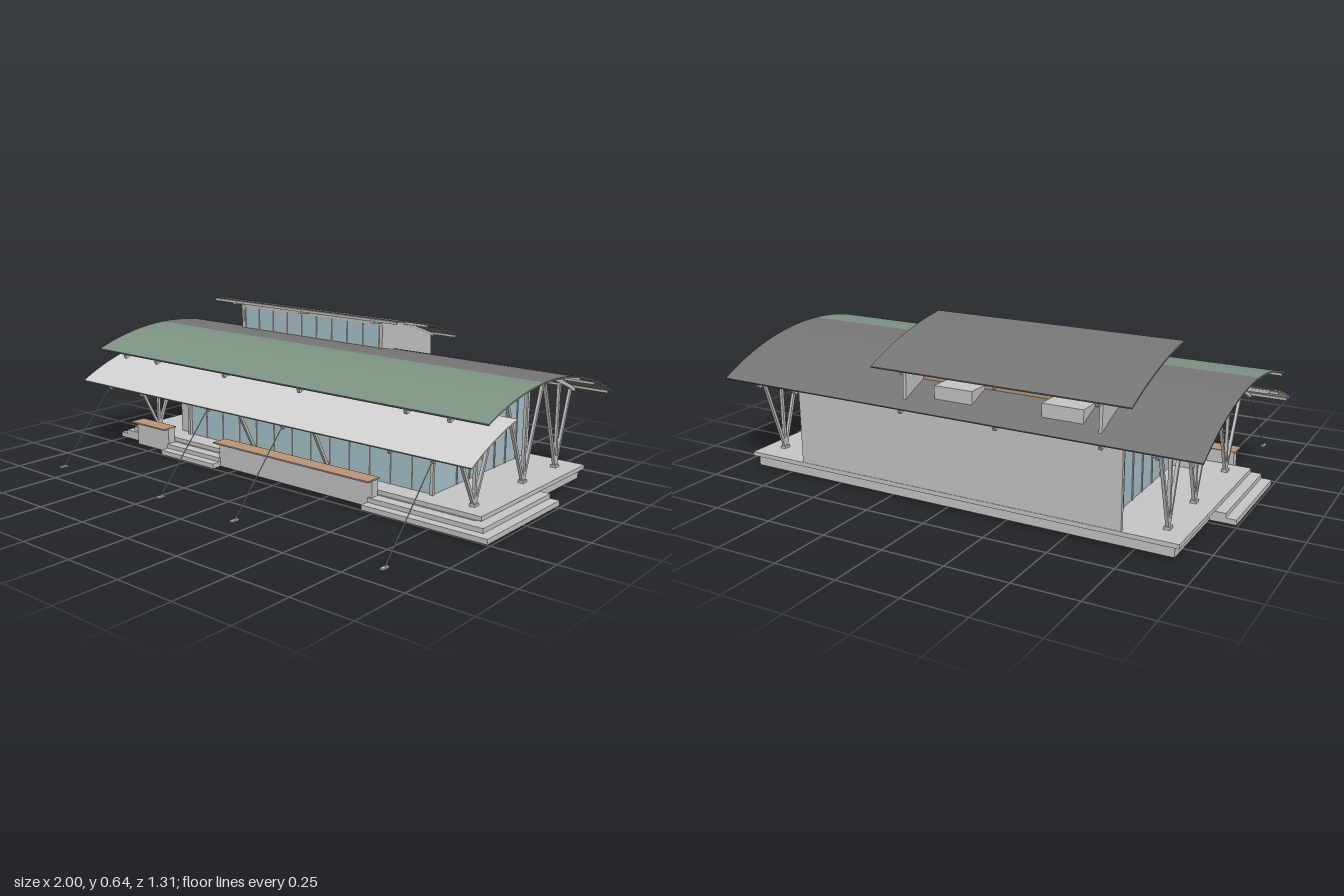
import * as THREE from 'three';
import { toCreasedNormals } from 'three/addons/utils/BufferGeometryUtils.js';

const mat = (name, color) => new THREE.MeshStandardMaterial({ name, color });

export function createModel() {
  const root = new THREE.Group();
  root.name = 'pavilion';
  const concrete = mat('concrete', 0xc6c6c6);
  const steel = mat('steel', 0xc2c2c0);
  const slate = mat('slate roof', 0x767774);
  const green = mat('green roof', 0x7d9484);
  const pale = mat('pale canopy', 0xd2d2d2);
  const glass = mat('glass', 0xaac5ce);
  const timber = mat('timber', 0xb8977a);

  const add = (name, geo, material, parent = root) => {
    const m = new THREE.Mesh(geo, material);
    m.name = name;
    parent.add(m);
    return m;
  };
  // box given by its extents on each axis
  const box = (name, material, x0, x1, y0, y1, z0, z1) => {
    const g = new THREE.BoxGeometry(x1 - x0, y1 - y0, z1 - z0);
    g.translate((x0 + x1) / 2, (y0 + y1) / 2, (z0 + z1) / 2);
    return add(name, g, material);
  };
  // side profile of [z, y] points swept from x0 to x1
  const sweep = (name, material, pts, x0, x1) => {
    const shape = new THREE.Shape(pts.map(([z, y]) => new THREE.Vector2(-z, y)));
    const g = new THREE.ExtrudeGeometry(shape, { depth: x1 - x0, bevelEnabled: false });
    g.rotateY(Math.PI / 2).translate(x0, 0, 0);
    return add(name, toCreasedNormals(g, 0.4), material);
  };
  // square bar between two points
  const bar = (name, material, a, b, size) => {
    const p = new THREE.Vector3(...a), q = new THREE.Vector3(...b);
    const m = add(name, new THREE.BoxGeometry(size, size, p.distanceTo(q)), material);
    m.position.copy(p).add(q).multiplyScalar(0.5);
    m.lookAt(q);
    return m;
  };

  // circular roof line through three [z, y] points
  const arcThrough = ([ax, ay], [bx, by], [cx, cy]) => {
    const d = 2 * (ax * (by - cy) + bx * (cy - ay) + cx * (ay - by));
    const a = ax * ax + ay * ay, b = bx * bx + by * by, c = cx * cx + cy * cy;
    const z0 = (a * (by - cy) + b * (cy - ay) + c * (ay - by)) / d;
    const y0 = (a * (cx - bx) + b * (ax - cx) + c * (bx - ax)) / d;
    const R = Math.hypot(ax - z0, ay - y0);
    return (z, drop = 0) => {
      const t = Math.asin((z - z0) / R);
      return [z0 + (R - drop) * Math.sin(t), y0 + (R - drop) * Math.cos(t)];
    };
  };
  const line = (arc, z0, z1, drop, n = 20) =>
    Array.from({ length: n + 1 }, (_, i) => arc(z0 + ((z1 - z0) * i) / n, drop));
  const band = (arc, z0, z1, d0, d1) => [...line(arc, z0, z1, d0), ...line(arc, z1, z0, d1)];

  const mainArc = arcThrough([0.29, 0.439], [-0.116, 0.514], [-0.65, 0.38]);
  const canopyArc = arcThrough([0.387, 0.311], [0.25, 0.374], [0.1, 0.417]);
  const upperArc = arcThrough([-0.18, 0.641], [-0.41, 0.6], [-0.64, 0.522]);

  // roof sheets
  sweep('roofFront', green, band(mainArc, 0.292, -0.08, 0, 0.006), -1, 1);
  sweep('roofRear', slate, band(mainArc, -0.08, -0.652, 0, 0.006), -1, 1);
  sweep('canopy', pale, band(canopyArc, 0.388, 0.1, 0, 0.005), -1, 1);
  sweep('upperRoof', slate, band(upperArc, -0.18, -0.643, 0, 0.006), -0.75, 0.285);

  // curved beams and purlins under the sheets
  const frames = [-0.84, -0.64, -0.235, 0.165, 0.66, 0.84];
  for (const x of frames) {
    sweep('roofBeam', steel, band(mainArc, 0.29, -0.65, 0.013, 0.028), x - 0.007, x + 0.007);
    sweep('canopyBeam', steel, band(canopyArc, 0.385, 0.1, 0.011, 0.026), x - 0.006, x + 0.006);
  }
  for (const x of [-0.62, -0.23, 0.16])
    sweep('upperBeam', steel, band(upperArc, -0.182, -0.638, 0.01, 0.022), x - 0.006, x + 0.006);
  const purlins = (arc, zs, x0, x1) => zs.forEach((z) => {
    const [pz, py] = arc(z, 0.0095);
    box('purlin', steel, x0, x1, py - 0.005, py + 0.005, pz - 0.005, pz + 0.005);
  });
  purlins(mainArc, [0.28, 0.1, -0.07, -0.25, -0.38, -0.51, -0.638], -0.99, 0.99);
  purlins(canopyArc, [0.378, 0.245, 0.11], -0.99, 0.99);
  purlins(upperArc, [-0.19, -0.41, -0.63], -0.745, 0.28);

  // plinth, floor slab and wraparound steps
  box('plinth', concrete, -0.9, 0.9, 0.01, 0.05, -0.6, 0.185);
  box('floorSlab', concrete, -0.92, 0.92, 0.05, 0.067, -0.612, 0.18);
  [[0.01, 0.03, 1, 0.27], [0.03, 0.048, 0.96, 0.232]].forEach(([y0, y1, x, z]) => {
    box('cornerStep', concrete, 0.46, x, y0, y1, 0.17, z);
    box('rightStep', concrete, 0.88, x, y0, y1, -0.25, 0.17);
    box('leftStep', concrete, -x, -0.88, y0, y1, -0.25, 0.19);
    box('entranceStep', concrete, -0.64, -0.32, y0, y1, 0.17, z);
  });

  // low garden walls with timber seats
  for (const [x0, x1] of [[-0.85, -0.635], [-0.33, 0.48]]) {
    box('lowWall', concrete, x0 + 0.005, x1 - 0.005, 0.01, 0.114, 0.187, 0.224);
    box('benchTop', timber, x0, x1, 0.114, 0.12, 0.183, 0.255);
  }

  // building shell
  const L = -0.635, R = 0.66, F = 0.092;
  box('backWall', concrete, -0.71, R, 0.067, 0.39, -0.61, -0.595);
  box('frontGlass', glass, L, R, 0.067, 0.39, F - 0.012, F);
  box('frontFascia', concrete, L, R, 0.39, 0.458, F - 0.012, F + 0.003);
  box('frontSideWall', concrete, -0.71, L, 0.067, 0.39, F - 0.03, F - 0.014);
  for (let i = 0; i <= 13; i++) {
    const x = L + ((R - L) * i) / 13;
    box('frontMullion', steel, x - 0.004, x + 0.004, 0.067, 0.39, F - 0.002, F + 0.004);
  }
  for (const [x, s] of [[L, -1], [R, 1]]) {
    const near = (a, b) => [Math.min(x + a * s, x + b * s), Math.max(x + a * s, x + b * s)];
    box('gableGlass', glass, ...near(-0.01, 0), 0.067, 0.385, -0.595, F);
    sweep('gableWall', concrete,
      [[F, 0.39], ...line(mainArc, F, -0.595, 0.026), [-0.595, 0.385]], ...near(-0.01, 0));
    box('gableTransom', steel, ...near(-0.002, 0.006), 0.383, 0.393, -0.6, F);
    for (const z of [-0.065, -0.155, -0.25, -0.34, -0.425, -0.51])
      box('gableMullion', steel, ...near(-0.002, 0.004), 0.067, 0.385, z - 0.003, z + 0.003);
    box('cornerPost', steel, ...near(-0.008, 0.006), 0.067, 0.465, 0.093, 0.105);
    box('rearPost', steel, ...near(-0.008, 0.006), 0.067, 0.39, -0.606, -0.592);
  }

  // raking columns of the two end frames
  const under = (z) => mainArc(z, 0.024)[1];
  const rakes = [[0.1, -0.07], [-0.25, -0.07], [-0.25, -0.25], [-0.25, -0.38],
    [-0.51, -0.38], [-0.51, -0.51], [-0.51, -0.61]];
  for (const x of [-0.84, 0.84]) {
    for (const [z0, z1] of rakes)
      bar('rakingColumn', steel, [x, 0.067, z0], [x, under(z1), z1], 0.012);
    box('endPost', steel, x - 0.006, x + 0.006, 0.067, under(0.1), 0.094, 0.106);
    for (const z of [0.1, -0.25, -0.51])
      box('columnFoot', steel, x - 0.012, x + 0.012, 0.067, 0.078, z - 0.014, z + 0.014);
  }

  // canopy struts, tie rods and ground anchors
  for (const x of [-0.84, -0.235, 0.165, 0.84]) {
    bar('canopyStrut', steel, [x, 0.067, 0.1], [x, canopyArc(0.25, 0.02)[1], 0.25], 0.012);
    bar('tieRod', steel, [x, 0.292, 0.383], [x, 0.005, 0.635], 0.003);
    box('groundAnchor', steel, x - 0.007, x + 0.007, 0, 0.006, 0.62, 0.656);
  }

  // raised clerestory, open at the rear
  const cl = -0.63, cr = 0.17;
  box('clerestoryGlass', glass, cl, cr, 0.49, 0.606, -0.252, -0.242);
  box('clerestoryHead', steel, cl, cr, 0.603, 0.614, -0.256, -0.238);
  for (let i = 0; i <= 9; i++) {
    const x = cl + 0.02 + ((cr - cl - 0.04) * i) / 9;
    box('clerestoryMullion', steel, x - 0.004, x + 0.004, 0.49, 0.606, -0.245, -0.238);
  }
  for (const x of [cl, cr - 0.012])
    sweep('clerestorySide', concrete,
      [...line(upperArc, -0.242, -0.608, 0.02), ...line(mainArc, -0.608, -0.242, 0.004)], x, x + 0.012);
  box('rearPanel', timber, cl + 0.012, cr - 0.012, 0.43, 0.562, -0.488, -0.48);
  for (const x of [-0.47, -0.03])
    box('roofUnit', concrete, x - 0.08, x + 0.08, 0.39, 0.465, -0.58, -0.49);

  return root;
}
